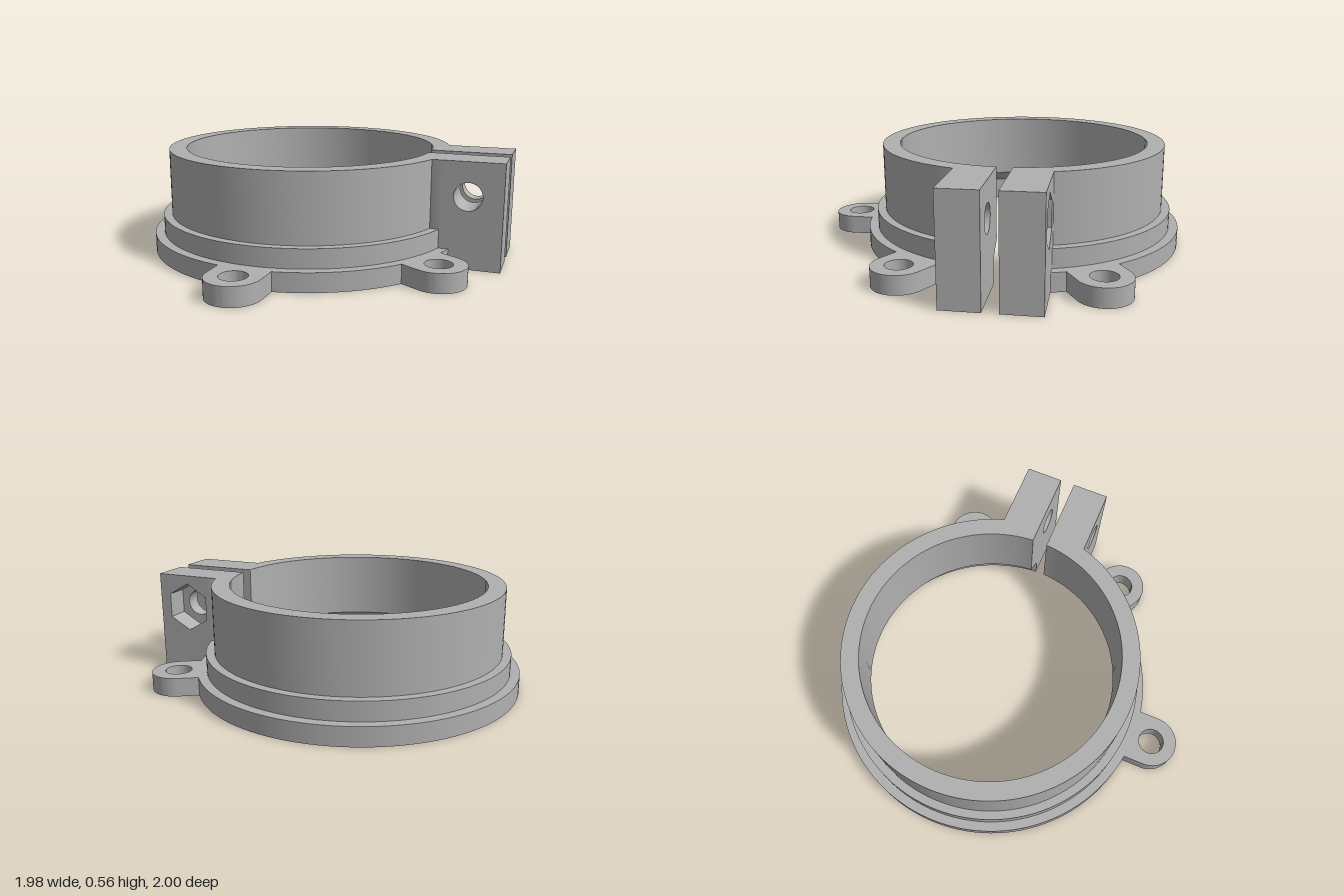
import * as THREE from 'three';
import { toCreasedNormals } from 'three/addons/utils/BufferGeometryUtils.js';

const CENTER_Z = -0.12;      // ring axis
const HEIGHT = 0.56;
const BORE = 0.69, COUNTERBORE = 0.785;
const SLIT = 0.04, CLAMP = 0.24;   // clamp lug faces, measured from the slit plane
const SEAM = 0.81, TIP = 1.113;    // clamp lug reach from the ring axis
const BOLT_U = 0.936, BOLT_Y = 0.38, BOLT_R = 0.073;

export function createModel() {
  const grey = new THREE.MeshStandardMaterial({ color: 0xb0b0b0 });
  grey.name = 'grey';

  const model = new THREE.Group();
  model.name = 'clampRing';
  const body = new THREE.Group();
  body.name = 'body';
  body.position.z = CENTER_Z;
  model.add(body);

  const add = (parent, name, geometry) => {
    const mesh = new THREE.Mesh(toCreasedNormals(geometry, 0.5), grey);
    mesh.name = name;
    parent.add(mesh);
    return mesh;
  };

  // Stepped ring with a chamfered counterbore, open at the slit
  const profile = [
    [COUNTERBORE, 0], [0.88, 0], [0.88, 0.1], [0.83, 0.1], [0.83, 0.2], [0.785, 0.2],
    [0.785, HEIGHT], [BORE, HEIGHT], [BORE, 0.2], [COUNTERBORE, 0.13], [COUNTERBORE, 0],
  ].map(([r, y]) => new THREE.Vector2(r, y));
  add(body, 'ring', new THREE.LatheGeometry(profile, 120, Math.PI / 6 + 0.2, Math.PI * 2 - 0.4));

  // Three mounting ears with screw holes
  for (const angle of [-Math.PI / 3, 0, Math.PI / 3]) {
    const shape = new THREE.Shape();
    shape.moveTo(0.14, -0.82);
    shape.lineTo(-0.14, -0.82);
    shape.lineTo(-0.14, -0.98);
    shape.absarc(0, -0.98, 0.14, Math.PI, Math.PI * 2, false);
    shape.closePath();
    shape.holes.push(new THREE.Path().absarc(0, -0.98, 0.07, 0, Math.PI * 2, true));
    const geometry = new THREE.ExtrudeGeometry(shape, { depth: 0.1, bevelEnabled: false, curveSegments: 24 });
    geometry.rotateX(-Math.PI / 2);
    add(body, 'mountingEar', geometry).rotation.y = angle;
  }

  // Clamp lugs: local z runs outward along the slit, local x across it
  const clamp = new THREE.Group();
  clamp.name = 'clamp';
  clamp.rotation.y = Math.PI / 6;
  body.add(clamp);

  // Lug root layer whose inner face follows the bore from radius r0 to r1
  function rootLayer(side, y0, y1, r0, r1) {
    const points = [];
    for (let i = 0; i <= 8; i++) {
      const v = SLIT + 0.02 * i;
      points.push(new THREE.Vector2(side * v, -Math.sqrt(r0 * r0 - v * v)));
    }
    for (const [v, u] of [[CLAMP, 0.75], [CLAMP, SEAM], [SLIT, SEAM]]) {
      points.push(new THREE.Vector2(side * v, -u));
    }
    const geometry = new THREE.ExtrudeGeometry(new THREE.Shape(points), { depth: y1 - y0, bevelEnabled: false });
    geometry.rotateX(-Math.PI / 2).translate(0, y0, 0);
    const p = geometry.attributes.position;
    for (let i = 0; i < p.count; i++) {
      const v = p.getX(i);
      const onBore = Math.abs(Math.hypot(v, p.getZ(i)) - r0) < 0.001;
      if (onBore && p.getY(i) > y1 - 0.001) p.setZ(i, Math.sqrt(r1 * r1 - v * v));
    }
    return geometry;
  }

  // Slab of the lug between two planes, pierced by a round or hexagonal hole
  function piercedSlab(v0, v1, radius, sides) {
    const shape = new THREE.Shape();
    shape.moveTo(-SEAM, 0);
    shape.lineTo(-SEAM, HEIGHT);
    shape.lineTo(-TIP, HEIGHT);
    shape.lineTo(-TIP, 0);
    shape.closePath();
    const hole = [];
    for (let i = 0; i < sides; i++) {
      const a = Math.PI / 2 + (i / sides) * Math.PI * 2;
      hole.push(new THREE.Vector2(-BOLT_U + radius * Math.cos(a), BOLT_Y + radius * Math.sin(a)));
    }
    shape.holes.push(new THREE.Path(hole));
    const geometry = new THREE.ExtrudeGeometry(shape, { depth: v1 - v0, bevelEnabled: false });
    return geometry.rotateY(Math.PI / 2).translate(v0, 0, 0);
  }

  for (const [side, name] of [[-1, 'rightLugRoot'], [1, 'leftLugRoot']]) {
    add(clamp, name, rootLayer(side, 0, 0.13, COUNTERBORE, COUNTERBORE));
    add(clamp, name, rootLayer(side, 0.13, 0.2, COUNTERBORE, BORE));
    add(clamp, name, rootLayer(side, 0.2, HEIGHT, BORE, BORE));
  }
  add(clamp, 'rightLug', piercedSlab(-CLAMP, -SLIT, BOLT_R, 40));
  add(clamp, 'leftLugInner', piercedSlab(SLIT, 0.12, BOLT_R, 40));
  add(clamp, 'leftLugNutPocket', piercedSlab(0.12, CLAMP, 0.133, 6));

  return model;
}
